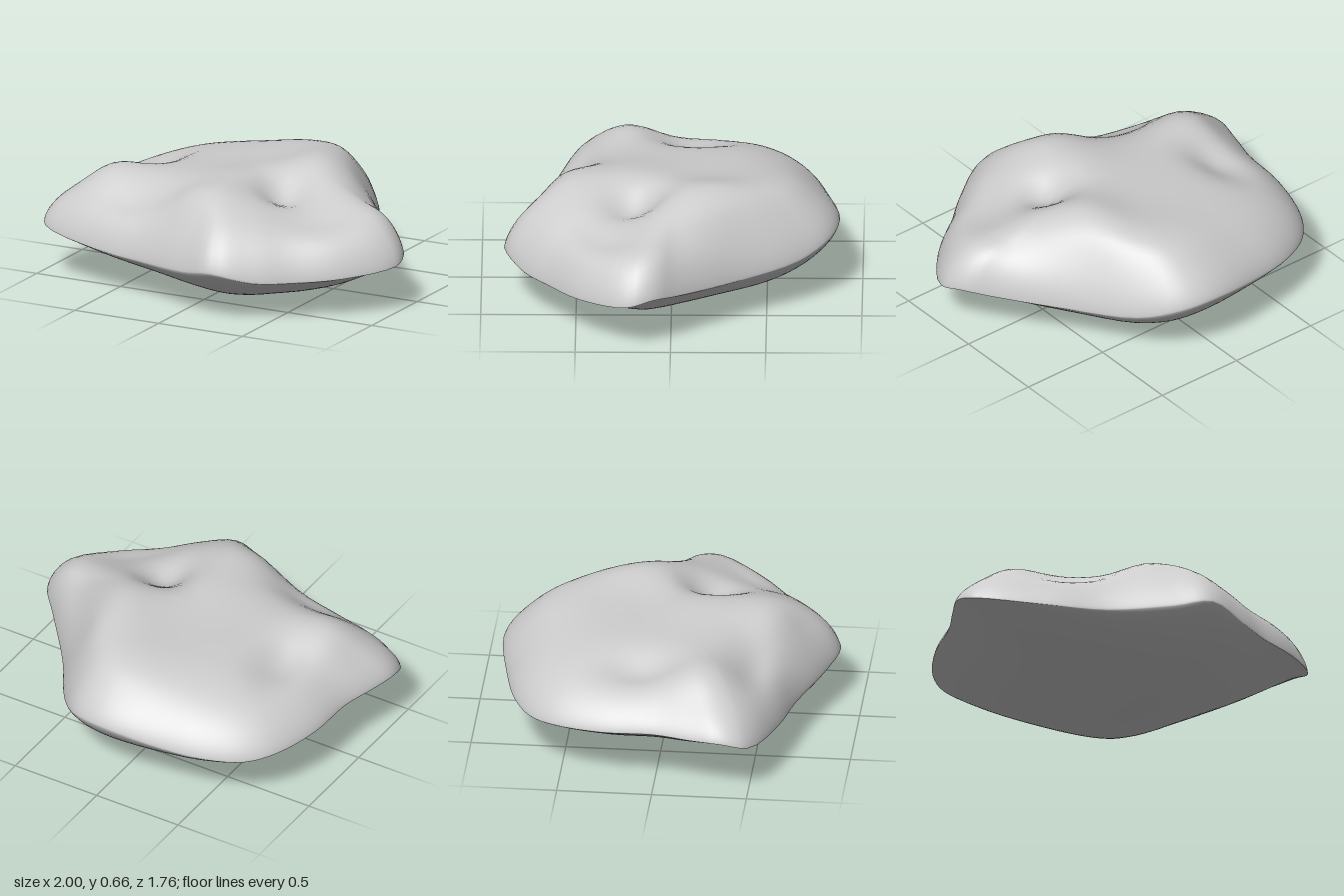
import * as THREE from 'three';
import { mergeVertices } from 'three/addons/utils/BufferGeometryUtils.js';

// Widest outline of the rock: x, rim height, z
const RIM = [
  [0.24, 0.29, 0.88], [0.44, 0.24, 0.78], [0.6, 0.23, 0.65], [0.82, 0.24, 0.48],
  [1, 0.27, 0.23], [0.97, 0.3, 0.09], [0.86, 0.28, -0.04], [0.6, 0.26, -0.36],
  [0.4, 0.29, -0.67], [0.24, 0.35, -0.83], [0.04, 0.37, -0.88], [-0.3, 0.33, -0.83],
  [-0.53, 0.31, -0.77], [-0.71, 0.3, -0.67], [-0.82, 0.31, -0.53], [-0.9, 0.32, -0.27],
  [-0.92, 0.33, 0], [-0.97, 0.33, 0.2], [-1, 0.33, 0.36], [-0.95, 0.29, 0.5],
  [-0.6, 0.25, 0.63], [-0.28, 0.24, 0.7], [0.04, 0.26, 0.82],
];

// Bumps and hollows of the upper face: x, z, radius in x, radius in z, height
const BUMPS = [
  [0.35, -0.22, 0.2, 0.36, 0.07],    // ridge
  [0, 0.25, 0.2, 0.25, 0.025],       // middle of the plateau
  [-0.02, 0.56, 0.2, 0.17, 0.05],    // front shoulder
  [-0.68, 0.22, 0.18, 0.2, 0.05],    // left shoulder
  [0.1, -0.6, 0.35, 0.25, 0.03],     // back shoulder
  [0.31, 0.19, 0.13, 0.16, -0.11],   // pit
  [0.58, 0.32, 0.26, 0.28, -0.09],   // low right side
  [0.75, -0.14, 0.13, 0.18, -0.04],  // hollow in the right wall
  [-0.58, -0.1, 0.12, 0.2, -0.06],   // left dent
  [-0.42, 0.5, 0.26, 0.14, -0.06],   // front groove
];

const bumpSum = (x, z) => BUMPS.reduce((s, [bx, bz, rx, rz, h]) =>
  s + h * Math.exp(-(((x - bx) / rx) ** 2) - ((z - bz) / rz) ** 2), 0);

function upper(x, z, rim, t) {
  const dome = Math.pow(Math.max(0, 1 - t ** 4), 0.7);
  const fade = 1 - THREE.MathUtils.smoothstep(t, 0.72, 1);
  return rim + (0.62 + 0.04 * x - rim) * dome + bumpSum(x, z) * fade;
}

// Round belly at front and back, straighter wedge towards both sides
function lower(x, z, rim, t) {
  const keel = 0.01 + 0.1 * Math.max(0, 0.2 - x);
  const power = 0.5 + (x > 0 ? 0.8 : 0.45) * x * x + 0.25 * z * z;
  return rim - (rim - keel) * Math.pow(Math.max(0, 1 - t * t), power);
}

function rockGeometry() {
  const curve = new THREE.CatmullRomCurve3(RIM.map(p => new THREE.Vector3(...p)), true);
  const segments = 92, rings = 28;
  const outline = curve.getPoints(segments).slice(0, segments);
  const positions = [], index = [];

  // Loops run from the underside centre, over the rim, to the upper centre
  for (let r = 0; r <= rings * 2; r++) {
    const t = r === rings * 2 ? 0 : Math.sin((r / rings) * Math.PI / 2);
    for (const p of outline) {
      const x = p.x * t, z = p.z * t;
      // The rim height evens out towards the centre
      const rim = THREE.MathUtils.lerp(0.32, p.y, t);
      positions.push(x, (r < rings ? lower : upper)(x, z, rim, t), z);
    }
  }
  for (let r = 0; r < rings * 2; r++) {
    for (let i = 0; i < segments; i++) {
      const a = r * segments + i, b = r * segments + (i + 1) % segments;
      const c = a + segments, d = b + segments;
      if (r < rings * 2 - 1) index.push(b, d, c);
      if (r > 0) index.push(a, b, c);
    }
  }
  let geometry = new THREE.BufferGeometry();
  geometry.setAttribute('position', new THREE.Float32BufferAttribute(positions, 3));
  geometry.setIndex(index);
  geometry = mergeVertices(geometry, 1e-5);
  geometry.computeBoundingBox();
  geometry.translate(0, -geometry.boundingBox.min.y, 0);
  geometry.computeVertexNormals();
  return geometry;
}

export function createModel() {
  const group = new THREE.Group();
  group.name = 'rock';
  const stone = new THREE.Mesh(rockGeometry(), new THREE.MeshStandardMaterial({ color: 0xcccccc }));
  stone.name = 'stone';
  group.add(stone);
  return group;
}
